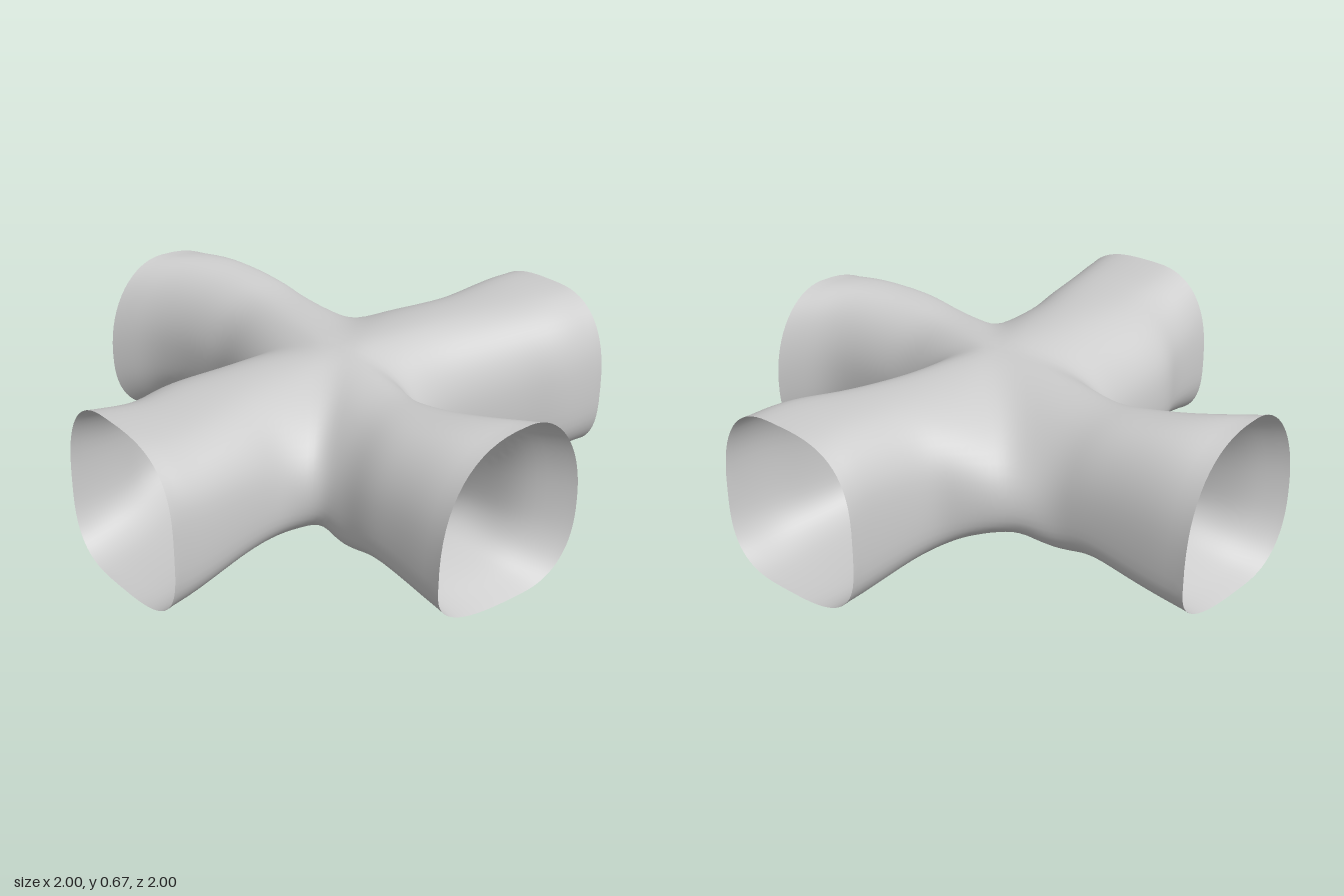
import * as THREE from 'three';
import { mergeVertices } from 'three/addons/utils/BufferGeometryUtils.js';

const HALF = 24; // steps along each arm
const RING = 32; // steps from ceiling to floor

// Spine of each arm, mouth to centre: [x, z, ceiling, floor]
const CENTRE = [0, 0.08, 0.62, 0.115];
const ARMS = {
  front: [[0.05, 1, 0.66, 0], [-0.04, 0.85, 0.65, 0.07], [-0.11, 0.65, 0.625, 0.11], [-0.1, 0.42, 0.605, 0.09]],
  left: [[1, 0.21, 0.66, 0], [0.82, 0.18, 0.66, 0.01], [0.6, 0.14, 0.64, 0.05], [0.35, 0.1, 0.63, 0.1]],
  back: [[-0.07, -1, 0.665, 0], [0.04, -0.85, 0.66, 0.06], [0.1, -0.65, 0.635, 0.115], [0.1, -0.4, 0.61, 0.1]],
  right: [[-1, 0.1, 0.66, 0.01], [-0.82, 0.12, 0.63, 0.05], [-0.6, 0.1, 0.63, 0.09], [-0.35, 0.08, 0.63, 0.1]],
};

// Wall profiles: [height of the widest point, upper squareness, lower squareness]
const FLARED = [0.45, 2.05, 2.5];
const LEANING = [0.27, 2.5, 2.9];
const TIGHT_KNEE = [0.36, 2, 3.6];
const WIDE_KNEE = [0.35, 2.05, 2.7];
const ROUND_SIDE = [0.45, 2.5, 3];
const SQUARE_SIDE = [0.45, 3.2, 3.2];

// Each corner: its arms, its profiles at mouth, knee and mouth, and its wall line [x, z]
const CORNERS = [
  ['front', 'left', [FLARED, TIGHT_KNEE, ROUND_SIDE],
    [[0.31, 1], [0.17, 0.85], [0.115, 0.65], [0.115, 0.5], [0.15, 0.39], [0.32, 0.35], [0.6, 0.41], [0.8, 0.47], [1, 0.48]]],
  ['left', 'back', [SQUARE_SIDE, WIDE_KNEE, LEANING],
    [[1, -0.16], [0.85, -0.155], [0.66, -0.18], [0.55, -0.27], [0.46, -0.39], [0.4, -0.5], [0.37, -0.62], [0.34, -0.8], [0.31, -1]]],
  ['back', 'right', [FLARED, TIGHT_KNEE, ROUND_SIDE],
    [[-0.33, -1], [-0.22, -0.87], [-0.15, -0.7], [-0.13, -0.52], [-0.19, -0.34], [-0.33, -0.27], [-0.6, -0.26], [-0.8, -0.19], [-1, -0.17]]],
  ['right', 'front', [SQUARE_SIDE, WIDE_KNEE, LEANING],
    [[-1, 0.48], [-0.87, 0.475], [-0.66, 0.445], [-0.52, 0.435], [-0.43, 0.49], [-0.4, 0.58], [-0.385, 0.7], [-0.36, 0.83], [-0.33, 1]]],
];

const { lerp, smoothstep } = THREE.MathUtils;
const curve = (points) => new THREE.CatmullRomCurve3(points, false, 'catmullrom', 0.5);

// Ceiling and floor points along an arm, mouth to centre
function sampleSpine(arm) {
  const stations = [...ARMS[arm], CENTRE];
  const top = curve(stations.map(([x, z, t]) => new THREE.Vector3(x, t, z))).getPoints(HALF);
  const floor = curve(stations.map(([x, z, , b]) => new THREE.Vector3(x, b, z))).getPoints(HALF);
  return top.map((t, i) => ({ top: t, floor: floor[i] }));
}

// Blends mouth, knee and mouth profiles at step i around a corner
function blendProfile([mouthA, knee, mouthB], i) {
  const mouth = i < HALF ? mouthA : mouthB;
  const t = smoothstep(Math.abs(i - HALF) / HALF, 0, 1);
  return knee.map((value, k) => lerp(value, mouth[k], t));
}

// Adds one quarter of the shell: half sections lofted around a corner
function addCorner(spineA, spineB, profiles, wallPoints, positions, indices) {
  const wall = curve(wallPoints.map(([x, z]) => new THREE.Vector3(x, 0, z))).getPoints(HALF * 2);
  const spine = [...spineA, ...spineB.slice(0, -1).reverse()];
  const start = positions.length / 3;
  wall.forEach((w, i) => {
    const { top, floor } = spine[i];
    const [level, upper, lower] = blendProfile(profiles, i);
    const widest = lerp(floor.y, top.y, level);
    for (let j = 0; j <= RING; j++) {
      const angle = Math.PI * (0.5 - j / RING);
      const power = angle >= 0 ? upper : lower;
      const out = j === 0 || j === RING ? 0 : Math.cos(angle) ** (2 / power);
      const rise = Math.abs(Math.sin(angle)) ** (2 / power);
      const s = angle >= 0 ? top : floor;
      positions.push(lerp(s.x, w.x, out), lerp(widest, s.y, rise), lerp(s.z, w.z, out));
    }
  });
  const row = RING + 1;
  for (let i = 0; i < HALF * 2; i++) {
    for (let j = 0; j < RING; j++) {
      const a = start + i * row + j;
      indices.push(a, a + 1, a + row, a + 1, a + row + 1, a + row);
    }
  }
}

// Softens the creases where the arms meet, without shrinking; the mouths stay put
function relax(geometry, rounds) {
  const position = geometry.attributes.position;
  const index = geometry.index.array;
  const neighbours = Array.from({ length: position.count }, () => new Set());
  for (let f = 0; f < index.length; f += 3) {
    for (let k = 0; k < 3; k++) {
      const a = index[f + k];
      const b = index[f + (k + 1) % 3];
      neighbours[a].add(b);
      neighbours[b].add(a);
    }
  }
  let points = neighbours.map((_, i) => new THREE.Vector3().fromBufferAttribute(position, i));
  const atMouth = points.map((p) => Math.max(Math.abs(p.x), Math.abs(p.z)) > 0.999);
  for (let r = 0; r < rounds * 2; r++) {
    const amount = r % 2 ? -0.52 : 0.5;
    points = points.map((p, i) => {
      if (atMouth[i]) return p;
      const mean = new THREE.Vector3();
      neighbours[i].forEach((n) => mean.add(points[n]));
      return p.clone().lerp(mean.divideScalar(neighbours[i].size), amount);
    });
  }
  points.forEach((p, i) => position.setXYZ(i, p.x, p.y, p.z));
}

export function createModel() {
  const group = new THREE.Group();
  group.name = 'tunnelCrossing';
  const stone = new THREE.MeshStandardMaterial({ color: 0xcccccc, side: THREE.DoubleSide });
  stone.name = 'pale grey stone';

  const spines = {};
  for (const arm of Object.keys(ARMS)) spines[arm] = sampleSpine(arm);

  const positions = [];
  const indices = [];
  for (const [a, b, profiles, wall] of CORNERS) {
    addCorner(spines[a], spines[b], profiles, wall, positions, indices);
  }

  // Weld the quarters so shading runs smoothly across the seams
  let geometry = new THREE.BufferGeometry();
  geometry.setAttribute('position', new THREE.Float32BufferAttribute(positions, 3));
  geometry.setIndex(indices);
  geometry = mergeVertices(geometry, 1e-4);
  relax(geometry, 30);
  geometry.computeVertexNormals();

  const shell = new THREE.Mesh(geometry, stone);
  shell.name = 'tunnelShell';
  group.add(shell);
  return group;
}
